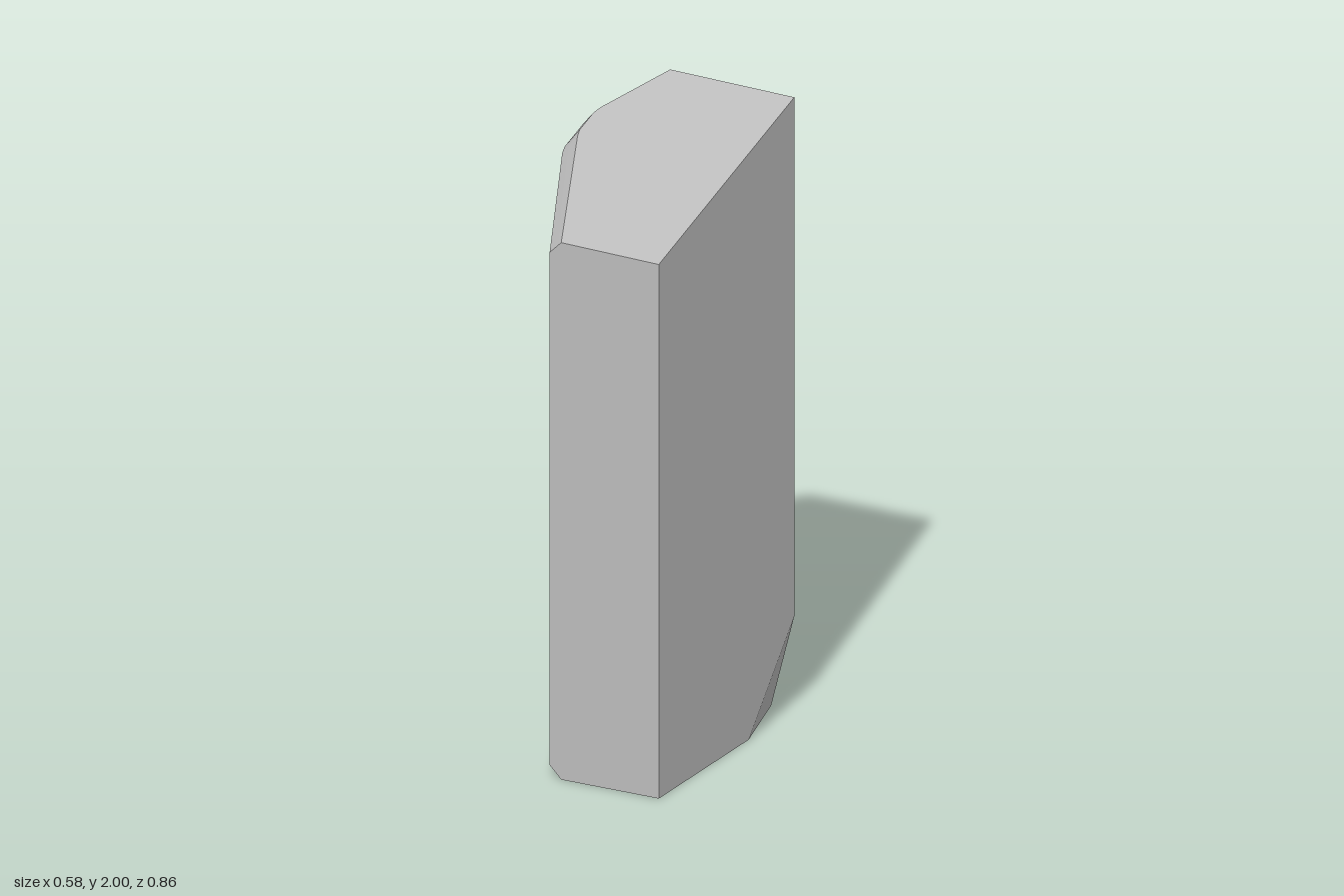
import * as THREE from 'three';
import { ConvexGeometry } from 'three/addons/geometries/ConvexGeometry.js';
import { toCreasedNormals } from 'three/addons/utils/BufferGeometryUtils.js';

export function createModel() {
  const group = new THREE.Group();
  group.name = 'slantedPillar';
  const stone = new THREE.MeshStandardMaterial({ color: 0xbcbcbc });
  stone.name = 'stone grey';

  const bevel = 0.04;
  const top = (x, z) => 1.862 - 0.028 * (x - 0.29) - 0.2965 * z; // sloping top plane

  // Bevelled side seen from above, back to front, as [x, z]
  const outer = [[-0.17, -0.43], [-0.283, -0.195], [-0.292, -0.165], [-0.292, -0.045], [-0.284, -0.015], [-0.085, 0.43]];
  const inner = [[-0.137, -0.43], [-0.25, -0.2], [-0.259, -0.17], [-0.259, -0.08], [-0.25, -0.05], [-0.045, 0.43]];

  const points = [];
  const add = (x, y, z) => points.push(new THREE.Vector3(x, y, z));
  for (const [x, z] of outer) {
    add(x, bevel, z);
    add(x, top(x, z) - bevel, z);
  }
  for (const [x, z] of inner) {
    add(x, 0, z);
    add(x, top(x, z), z);
  }

  // Flat straight side
  add(0.292, 0, 0.43);
  add(0.292, top(0.292, 0.43), 0.43);
  add(0.292, top(0.292, -0.43), -0.43);

  // Lower back corner, sliced off diagonally
  add(0.292, 0.305, -0.43);
  add(0.292, 0, -0.14);
  add(0.212, 0, -0.43);

  const body = new THREE.Mesh(toCreasedNormals(new ConvexGeometry(points), 0.29), stone);
  body.name = 'pillarBody';
  group.add(body);
  return group;
}
